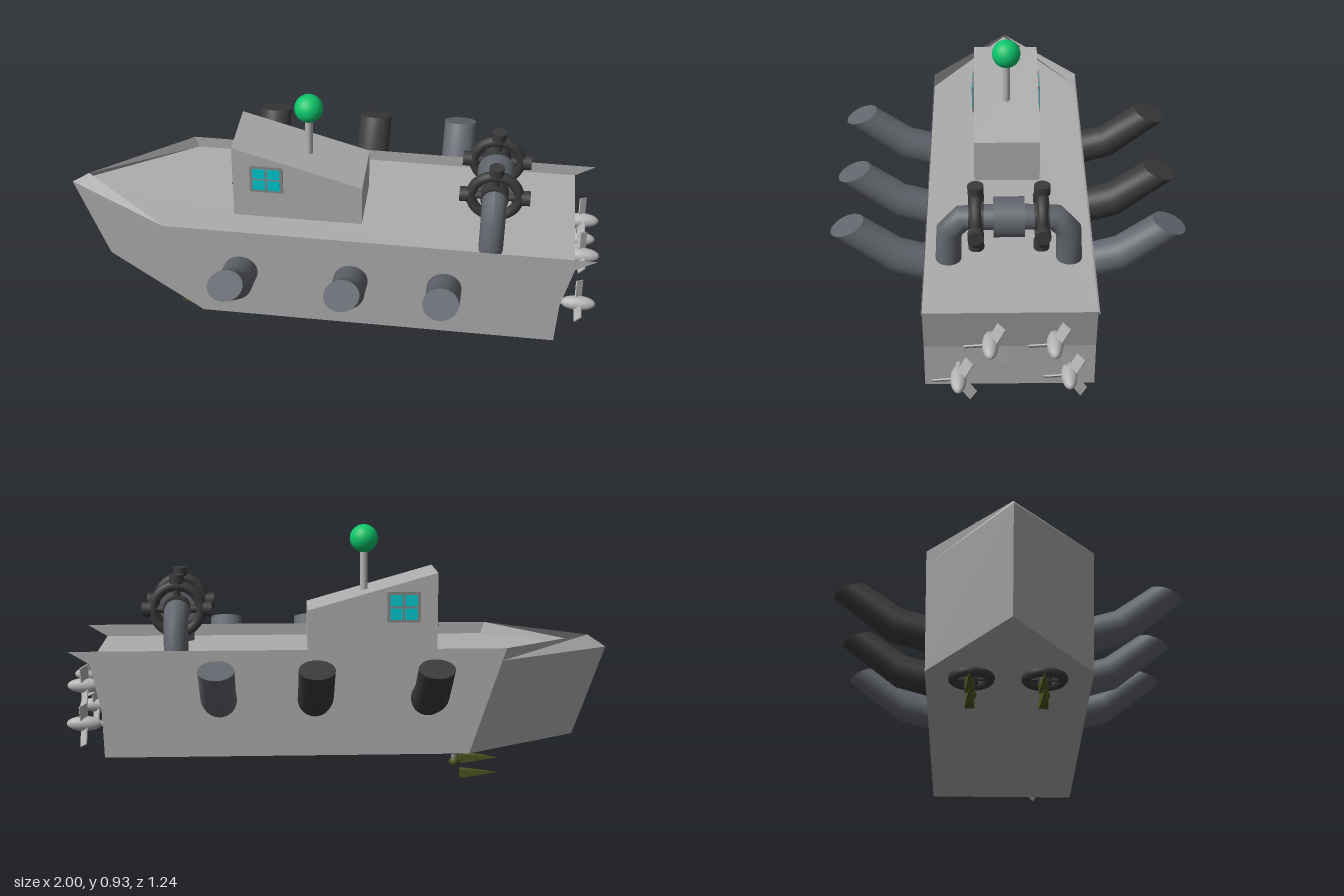
import * as THREE from 'three';

const mat = (name, color, side = THREE.FrontSide) => {
  const m = new THREE.MeshStandardMaterial({ color, side });
  m.name = name;
  return m;
};

export function createModel() {
  const root = new THREE.Group();
  root.name = 'boat';
  const hullGray = mat('hullGray', 0xadadad, THREE.DoubleSide);
  const pipeGray = mat('pipeGray', 0x62666d);
  const darkIron = mat('darkIron', 0x3a3a3a);
  const frameGray = mat('frameGray', 0x858585);
  const glass = mat('glass', 0x00c8d0);
  const beacon = mat('beaconGreen', 0x0cc46a);
  const steel = mat('steel', 0xb4b4b4);
  const olive = mat('olive', 0x4e5620);

  const add = (parent, name, geo, material, x = 0, y = 0, z = 0) => {
    const m = new THREE.Mesh(geo, material);
    m.name = name;
    m.position.set(x, y, z);
    parent.add(m);
    return m;
  };
  const group = (name, x, y, z) => {
    const g = new THREE.Group();
    g.name = name;
    g.position.set(x, y, z);
    root.add(g);
    return g;
  };
  // flat panels from lists of corner points
  const panels = (faces) => {
    const pos = [];
    for (const f of faces)
      for (let i = 1; i < f.length - 1; i++) pos.push(...f[0], ...f[i], ...f[i + 1]);
    const g = new THREE.BufferGeometry();
    g.setAttribute('position', new THREE.Float32BufferAttribute(pos, 3));
    g.computeVertexNormals();
    return g;
  };

  // Hull shell, deck and raised bulwarks
  const W = 0.285;
  const keelTip = [-0.88, 0.13, 0], deckTip = [-1, 0.465, 0], railTip = [-0.93, 0.512, 0];
  const side = (s) => ({
    keelBow: [-0.45, 0.13, s * W], keelStern: [0.855, 0.13, s * W], midStern: [0.862, 0.3, s * W],
    deckBow: [-0.565, 0.47, s * W], deckStern: [0.9, 0.47, s * W],
    railBow: [-0.58, 0.515, s * W], railStern: [0.975, 0.515, s * W],
  });
  const L = side(1), R = side(-1);
  const shell = [
    [L.keelStern, R.keelStern, R.midStern, L.midStern],
    [L.midStern, R.midStern, R.deckStern, L.deckStern],
    [keelTip, R.keelBow, R.keelStern, L.keelStern, L.keelBow],
  ];
  const rails = [];
  for (const [p, s] of [[L, 1], [R, -1]]) {
    const order = (f) => (s > 0 ? f : f.reverse());
    shell.push(order([p.keelBow, p.keelStern, p.midStern, p.deckStern, p.deckBow]));
    shell.push(order([keelTip, p.keelBow, p.deckBow, deckTip]));
    rails.push(order([p.deckBow, p.deckStern, p.railStern, p.railBow]));
    rails.push(order([deckTip, p.deckBow, p.railBow, railTip]));
  }
  add(root, 'hull', panels(shell), hullGray);
  add(root, 'deck', panels([[deckTip, L.deckBow, L.deckStern, R.deckStern, R.deckBow]]), hullGray);
  add(root, 'bulwarks', panels(rails), hullGray);

  // Cabin with sloping roof
  const profile = new THREE.Shape([[-0.35, 0.465], [0.125, 0.465], [0.125, 0.63], [-0.35, 0.765]]
    .map(([x, y]) => new THREE.Vector2(x, y)));
  const cabin = new THREE.ExtrudeGeometry(profile, { depth: 0.24, bevelEnabled: false });
  add(root, 'cabin', cabin.translate(0, 0, -0.12), hullGray);

  // Four-pane window on each cabin side
  for (const s of [1, -1]) {
    const w = group('window', -0.225, 0.64, s * 0.12);
    add(w, 'windowFrame', new THREE.BoxGeometry(0.122, 0.112, 0.014), frameGray);
    for (const i of [-1, 1]) for (const j of [-1, 1])
      add(w, 'pane', new THREE.BoxGeometry(0.046, 0.042, 0.006), glass, i * 0.027, j * 0.025, s * 0.006);
  }

  // Door and handle facing the bow
  add(root, 'door', new THREE.BoxGeometry(0.01, 0.145, 0.11), darkIron, -0.353, 0.55, 0.005);
  add(root, 'doorHandle', new THREE.SphereGeometry(0.009, 10, 8), darkIron, -0.362, 0.545, 0.035);

  // Mast with beacon ball
  add(root, 'mast', new THREE.CylinderGeometry(0.014, 0.014, 0.18, 16), steel, -0.085, 0.76, 0);
  add(root, 'beaconBall', new THREE.SphereGeometry(0.052, 32, 20), beacon, -0.085, 0.88, 0);

  // Bent pipe: each station is [z, y, tangent angle in degrees]
  const bentPipe = (stations, r) => {
    const n = stations.length - 1;
    const g = new THREE.CylinderGeometry(r, r, 1, 28, n);
    const p = g.attributes.position;
    for (let i = 0; i < p.count; i++) {
      const [z, y, deg] = stations[Math.round((p.getY(i) + 0.5) * n)];
      const a = THREE.MathUtils.degToRad(deg), d = p.getZ(i);
      p.setXYZ(i, p.getX(i), y - d * Math.cos(a), z + d * Math.sin(a));
    }
    g.computeVertexNormals();
    return g;
  };

  // Three exhaust pipes on each flank
  const exhaust = bentPipe([[0.2, 0.313, 10], [0.395, 0.37, 21], [0.56, 0.497, 69]], 0.0625);
  for (const x of [-0.3, 0.105, 0.445]) {
    add(root, 'exhaustPipe', exhaust, pipeGray, x);
    add(root, 'exhaustPipe', exhaust, x < 0.3 ? darkIron : pipeGray, x).rotation.y = Math.PI;
  }

  // Deck pipe arch with a valve wheel on each side
  const arch = group('deckPipes', 0.6, 0, 0);
  const elbow = bentPipe([[0.205, 0.46, 90], [0.2, 0.585, 107], [0.155, 0.635, 150], [0.04, 0.637, 180]], 0.044);
  add(arch, 'coupling', new THREE.CylinderGeometry(0.068, 0.068, 0.104, 32).rotateX(Math.PI / 2), pipeGray, 0, 0.637);
  for (const s of [1, -1]) {
    add(arch, 'elbowPipe', elbow, pipeGray).rotation.y = s > 0 ? 0 : Math.PI;
    const wheel = new THREE.Group();
    wheel.name = 'valveWheel';
    wheel.position.set(0, 0.637, s * 0.11);
    arch.add(wheel);
    add(wheel, 'rim', new THREE.TorusGeometry(0.086, 0.019, 14, 36), darkIron);
    add(wheel, 'hub', new THREE.CylinderGeometry(0.05, 0.05, 0.05, 24).rotateX(Math.PI / 2), darkIron);
    for (let k = 0; k < 4; k++) {
      const a = k * Math.PI / 2;
      const spoke = add(wheel, 'spoke', new THREE.CylinderGeometry(0.014, 0.014, 0.09, 12), darkIron, -Math.sin(a) * 0.06, Math.cos(a) * 0.06);
      const knob = add(wheel, 'knob', new THREE.CylinderGeometry(0.027, 0.027, 0.032, 18), darkIron, -Math.sin(a) * 0.11, Math.cos(a) * 0.11);
      spoke.rotation.z = knob.rotation.z = a;
    }
  }

  // Four three-bladed propellers at the stern
  for (const [z, y] of [[0.065, 0.365], [-0.145, 0.365], [0.17, 0.222], [-0.195, 0.235]]) {
    const prop = group('propeller', 0.935, y, z);
    add(prop, 'hub', new THREE.SphereGeometry(0.027, 20, 14).scale(2.4, 1, 1), steel);
    add(prop, 'shaft', new THREE.CylinderGeometry(0.01, 0.01, 0.09, 12).rotateZ(Math.PI / 2), steel, -0.045);
    for (let k = 0; k < 3; k++) {
      const blade = new THREE.BoxGeometry(0.036, 0.07, 0.005).rotateY(0.85).translate(0, 0.05, 0);
      add(prop, 'blade', blade, steel).rotation.x = -0.45 + k * Math.PI * 2 / 3;
    }
  }

  // Wheel-shaped mounts under the bow, each carrying two spikes
  for (const z of [0.12, -0.128]) {
    const mount = group('keelMount', -0.415, 0, z);
    add(mount, 'mountRing', new THREE.TorusGeometry(0.063, 0.017, 12, 32).rotateX(Math.PI / 2), darkIron, 0, 0.12);
    add(mount, 'mountHub', new THREE.CylinderGeometry(0.024, 0.024, 0.03, 18), darkIron, 0, 0.117);
    for (let k = 0; k < 2; k++)
      add(mount, 'mountSpoke', new THREE.BoxGeometry(0.12, 0.014, 0.014).rotateY(k * Math.PI / 2), darkIron, 0, 0.12);
    add(mount, 'stem', new THREE.CylinderGeometry(0.01, 0.01, 0.06, 12), frameGray, 0, 0.085);
    add(mount, 'ball', new THREE.SphereGeometry(0.018, 16, 12), olive, 0, 0.06);
    const spike = new THREE.ConeGeometry(0.0235, 0.145, 4).toNonIndexed();
    spike.rotateY(Math.PI / 4).rotateZ(Math.PI / 2).computeVertexNormals();
    for (const y of [0.0175, 0.074]) add(mount, 'spike', spike, olive, -0.095, y, -0.006);
  }
  return root;
}
